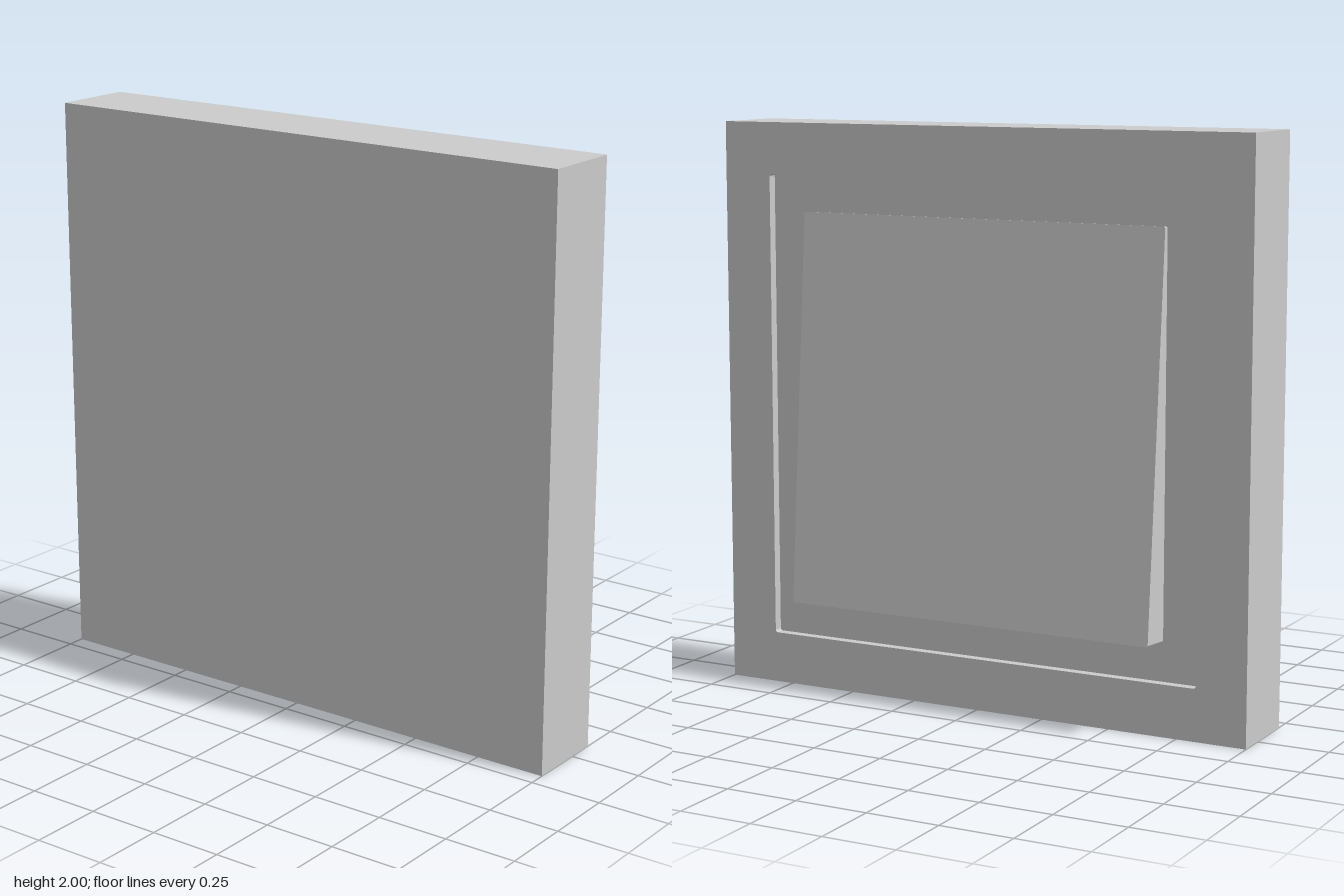
import * as THREE from 'three';

const material = new THREE.MeshStandardMaterial({ color: 0xcccccc, flatShading: true });

// Traces a square outline with slightly softened corners, centred on the origin
function roundedSquare(path, half, r) {
  path.moveTo(-half + r, -half);
  [0, 1, 2, 3].forEach((i) => {
    const a = -Math.PI / 2 + (i * Math.PI) / 2;
    const sx = i < 2 ? 1 : -1;
    const sy = i === 1 || i === 2 ? 1 : -1;
    path.absarc(sx * (half - r), sy * (half - r), r, a, a + Math.PI / 2, false);
  });
  path.closePath();
  return path;
}

function square(half) {
  return new THREE.Shape([[-1, -1], [1, -1], [1, 1], [-1, 1]].map(([x, y]) => new THREE.Vector2(x * half, y * half)));
}

// Extrudes an outline along +x, starting from x = 0
function slab(name, shape, depth) {
  const geometry = new THREE.ExtrudeGeometry(shape, { depth, bevelEnabled: false, curveSegments: 3 });
  geometry.rotateY(Math.PI / 2);
  const mesh = new THREE.Mesh(geometry, material);
  mesh.name = name;
  return mesh;
}

export function createModel() {
  const group = new THREE.Group();
  group.name = 'wallSwitch';
  const back = -0.19, floor = 0.067, face = 0.1;

  // Solid housing up to the recess floor
  const housing = new THREE.Mesh(new THREE.BoxGeometry(floor - back, 2, 2), material);
  housing.name = 'housing';
  housing.position.set((back + floor) / 2, 1, 0);
  group.add(housing);

  // Raised frame around the square recess
  const frameShape = square(1);
  frameShape.holes.push(roundedSquare(new THREE.Path(), 0.82, 0.01));
  const frame = slab('frame', frameShape, face - floor);
  frame.position.set(floor, 1, 0);
  group.add(frame);

  // Tilted rocker, its lower edge standing proud and its back sunk in the housing
  const rockerDepth = 0.16;
  const rocker = slab('rocker', roundedSquare(new THREE.Shape(), 0.686, 0.006), rockerDepth);
  rocker.geometry.translate(-rockerDepth, 0, 0);
  rocker.position.set(0.138, 1.008, 0);
  rocker.rotation.z = 0.076;
  group.add(rocker);

  return group;
}
